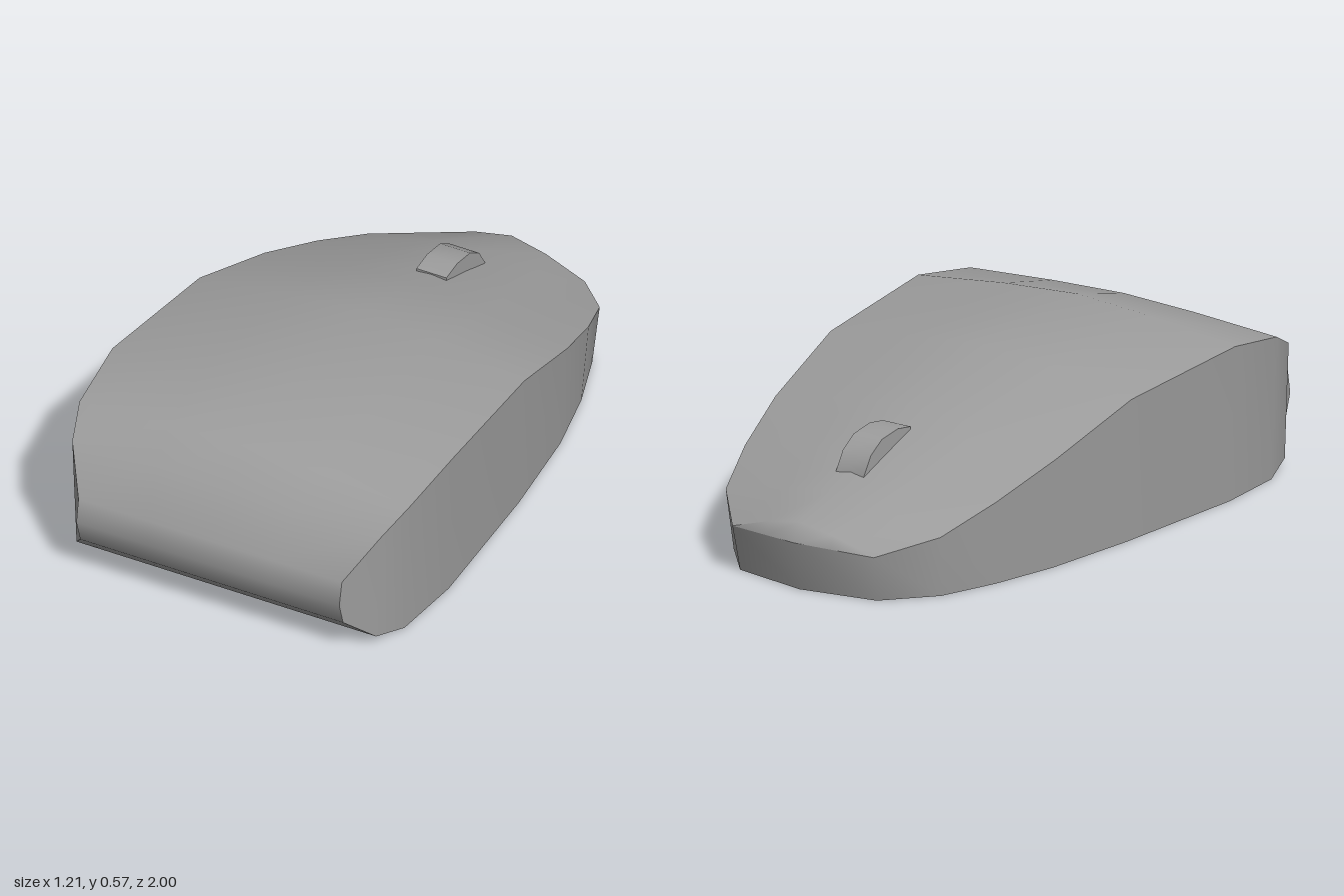
import * as THREE from 'three';
import { toCreasedNormals } from 'three/addons/utils/BufferGeometryUtils.js';

const material = new THREE.MeshStandardMaterial({ color: 0x9d9d9d });

// Smooth surface through rows of points
function loft(name, rows) {
  const n = rows[0].length, index = [];
  for (let i = 0; i < rows.length - 1; i++) {
    for (let j = 0; j < n - 1; j++) {
      const a = i * n + j, b = a + n;
      index.push(a, b, a + 1, b, b + 1, a + 1);
    }
  }
  const g = new THREE.BufferGeometry();
  g.setAttribute('position', new THREE.Float32BufferAttribute(rows.flat(2), 3));
  g.setIndex(index);
  g.computeVertexNormals();
  const mesh = new THREE.Mesh(g, material);
  mesh.name = name;
  return mesh;
}

// Stations from nose to tail: z, half width, rim height, crown height
const top = [
  [-0.79, 0.41, 0.2, 0.275],
  [-0.59, 0.48, 0.275, 0.35],
  [-0.35, 0.535, 0.36, 0.432],
  [0, 0.575, 0.47, 0.54],
  [0.51, 0.605, 0.51, 0.566],
  [0.76, 0.585, 0.47, 0.5],
  [0.88, 0.545, 0.41, 0.413],
  [0.985, 0.466, 0.28, 0.28],
  [1, 0.465, 0.2, 0.2],
];
// Underside of the rounded tail, going back in under the body
const tail = [
  [0.975, 0.465, 0.12, 0.12],
  [0.88, 0.53, 0.03, 0.03],
  [0.76, 0.565, 0, 0],
];
// Rim from the nose tip along one side, and the lower wall edge: x, y, z
const rim = [[0, 0.16, -1], [0.27, 0.15, -0.95], ...top.map(([z, w, y]) => [w, y, z])];
const low = rim.map(([x, y, z]) => {
  if (z > 0.99) return [x, y, z];
  const t = tail.find((s) => Math.abs(s[0] - z) < 0.02);
  return t ? [t[1], t[2], t[0]] : [x * 0.967, 0, z < 0 ? z * 0.97 : z];
});

export function createModel() {
  const group = new THREE.Group();
  group.name = 'computerMouse';

  // Crowned top: nose rim, nose ridge, then the stations over and under the tail
  const across = [[-1, 0], [-0.46, 0.67], [0, 1], [0.46, 0.67], [1, 0]];
  group.add(loft('topShell', [
    across.map(([u]) => [u * 0.27, 0.16 - 0.01 * Math.abs(u), -1 + 0.05 * Math.abs(u)]),
    across.map(([u, h]) => [u * 0.27, 0.15 + 0.07 * h, -0.95 - 0.02 * h]),
    ...[...top, ...tail].map(([z, w, edge, crown]) =>
      across.map(([u, h]) => [u * w, edge + (crown - edge) * h, z])),
  ]));

  // Side wall, one strip from the left tail round the nose to the right tail
  const wall = (s) => rim.map((p, i) =>
    [low[i], p].map(([x, y, z]) => [s * x, y, z]));
  group.add(loft('sideWall', [...wall(1).reverse(), ...wall(-1).slice(1)]));

  // Flat base
  group.add(loft('base', low.filter((p) => p[1] === 0)
    .map(([x, , z]) => [[x, 0, z], [-x, 0, z]])));

  // Scroll wheel: exposed arc of the tread, sunk into the shell
  const arc = [[0.45, 0.2], [0.45, 0.402], [0.519, 0.413], [0.604, 0.401],
    [0.663, 0.364], [0.7, 0.305], [0.71, 0.2]];
  const profile = new THREE.Shape(arc.map(([z, y]) => new THREE.Vector2(z, y)));
  const wheelGeometry = new THREE.ExtrudeGeometry(profile, { depth: 0.106, bevelEnabled: false });
  wheelGeometry.translate(0, 0, -0.053);
  wheelGeometry.rotateY(Math.PI / 2);
  const wheel = new THREE.Mesh(toCreasedNormals(wheelGeometry, 0.8), material);
  wheel.name = 'scrollWheel';
  group.add(wheel);

  return group;
}
